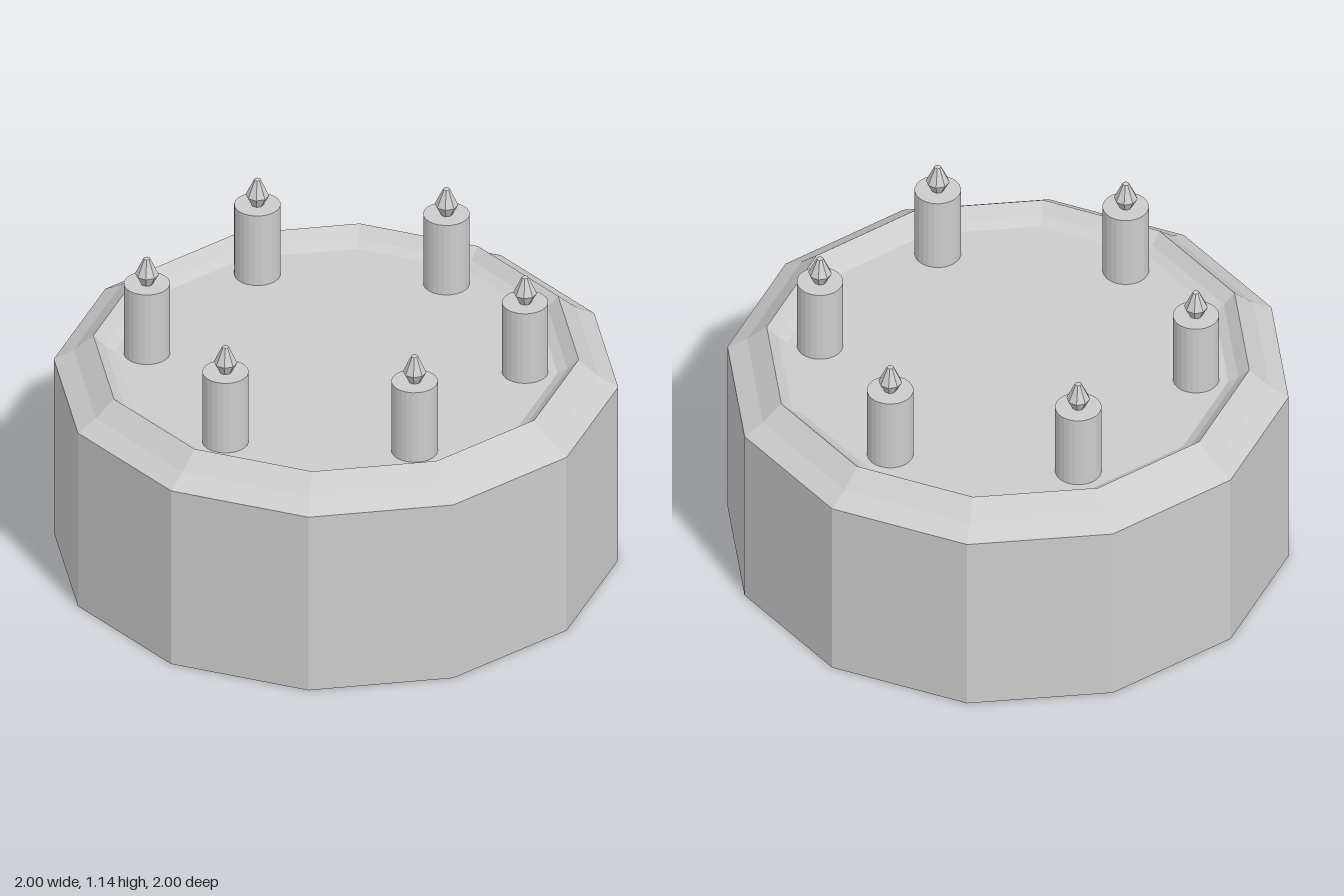
import * as THREE from 'three';

const lathe = (points, sides) =>
  new THREE.LatheGeometry(points.map(([r, y]) => new THREE.Vector2(r, y)), sides);

export function createModel() {
  const group = new THREE.Group();
  const icing = new THREE.MeshStandardMaterial({ color: 0xcccccc, flatShading: true });
  icing.name = 'pale grey';

  const add = (parent, name, geometry) => {
    const mesh = new THREE.Mesh(geometry, icing);
    mesh.name = name;
    parent.add(mesh);
    return mesh;
  };

  // Twelve-sided cake: base and wall, raised rim, sunken top
  add(group, 'cakeBody', lathe([[0, 0], [1, 0], [1, 0.71]], 12));
  add(group, 'cakeRim', lathe([[1, 0.71], [0.93, 0.752], [0.86, 0.815], [0.82, 0.775], [0.785, 0.755]], 12));
  add(group, 'cakeTop', lathe([[0.785, 0.755], [0, 0.755]], 12));

  // Ring of six candles with faceted flames
  const stick = new THREE.CylinderGeometry(0.082, 0.082, 0.29, 24);
  const flame = lathe([[0, 1.038], [0.022, 1.04], [0.042, 1.078], [0.012, 1.142], [0, 1.145]], 8);
  for (let i = 0; i < 6; i++) {
    const angle = (i * Math.PI) / 3;
    const candle = new THREE.Group();
    candle.name = 'candle';
    candle.position.set(0.67 * Math.cos(angle), 0, 0.67 * Math.sin(angle));
    add(candle, 'candleStick', stick).position.y = 0.895;
    add(candle, 'flame', flame);
    group.add(candle);
  }
  return group;
}
